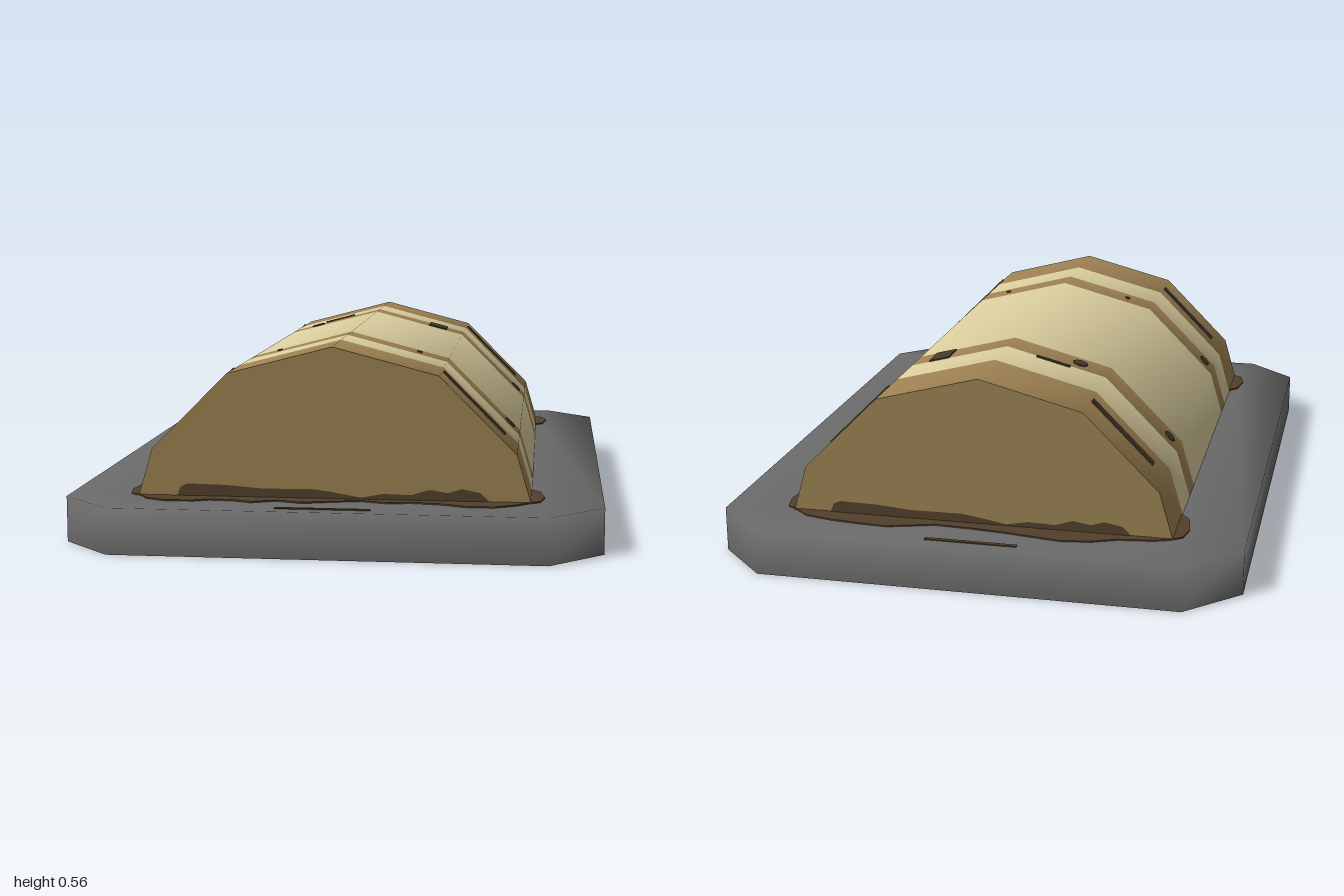
import * as THREE from 'three';

const mat = (name, color, side = THREE.FrontSide) => {
  const m = new THREE.MeshStandardMaterial({ color, side });
  m.name = name;
  return m;
};

// Surface through rings of [x, y, z] points, with shared vertices for smooth normals
function loft(rings, closed) {
  const n = rings[0].length, index = [];
  for (let j = 0; j < rings.length - 1; j++) {
    for (let i = 0; i < (closed ? n : n - 1); i++) {
      const k = (i + 1) % n;
      const a = j * n + i, b = j * n + k, c = b + n, d = a + n;
      index.push(a, b, c, a, c, d);
    }
  }
  const g = new THREE.BufferGeometry();
  g.setAttribute('position', new THREE.Float32BufferAttribute(rings.flat(2), 3));
  g.setIndex(index);
  g.computeVertexNormals();
  return g;
}

export function createModel() {
  const grey = mat('concrete grey', 0x6a6a6a, THREE.DoubleSide);
  const sand = mat('sand canvas', 0xdccf9f, THREE.DoubleSide);
  const tan = mat('tan band', 0x9f8253, THREE.DoubleSide);
  const endTan = mat('end wall tan', 0x9a8252);
  const dirt = mat('dirt brown', 0x53402c);
  const dark = mat('dark mark', 0x463a2e);

  const model = new THREE.Group();
  const add = (name, geo, material, x = 0, y = 0, z = 0) => {
    const m = new THREE.Mesh(geo, material);
    m.name = name;
    m.position.set(x, y, z);
    model.add(m);
    return m;
  };
  const TOP = 0.13, HALF = 0.82;

  // Hollow base: octagonal skirt and top ledge around the hut
  const outer = [[0.75, 0.85], [0.75, -0.85], [0.6, -1], [-0.6, -1],
    [-0.75, -0.85], [-0.75, 0.85], [-0.6, 1], [0.6, 1]];
  const ring = (y) => outer.map(([x, z]) => [x, y, z]);
  const inner = outer.map(([x, z]) => [Math.sign(x) * 0.55, TOP, Math.sign(z) * HALF]);
  add('base', loft([ring(0), ring(TOP), inner], true), grey);

  // Arched roof in coloured bands, each with its piece of floor underneath
  const half = [[0.55, TOP], [0.51, 0.265], [0.295, 0.48]];
  const arch = [...half, [0, 0.557], ...half.map(([x, y]) => [-x, y]).reverse()];
  const cuts = [-0.82, -0.62, -0.47, -0.37, 0.37, 0.47, 0.62, 0.82];
  for (let i = 0; i < cuts.length - 1; i++) {
    const z0 = cuts[i], z1 = cuts[i + 1], m = i % 2 ? sand : tan;
    add('roofBand', loft([z0, z1].map((z) => arch.map(([x, y]) => [x, y, z])), false), m);
    const floor = add('floorBand', new THREE.PlaneGeometry(1.1, z1 - z0), m, 0, 0.124, (z0 + z1) / 2);
    floor.rotation.x = Math.PI / 2;
  }

  // End walls with a grimy strip along the foot
  const wallShape = new THREE.Shape(arch.map(([x, y]) => new THREE.Vector2(x, y)));
  const grime = [[-0.44, 0.13], [-0.43, 0.158], [-0.41, 0.168], [-0.3, 0.166], [-0.2, 0.158],
    [-0.05, 0.159], [0, 0.152], [0.08, 0.138], [0.14, 0.15], [0.22, 0.148], [0.27, 0.164],
    [0.32, 0.156], [0.36, 0.168], [0.41, 0.158], [0.43, 0.14], [0.43, 0.13]];
  const grimeShape = new THREE.Shape(grime.map(([x, y]) => new THREE.Vector2(x, y)));
  for (const s of [1, -1]) {
    const wall = add('endWall', new THREE.ShapeGeometry(wallShape), endTan, 0, 0, s * HALF);
    const strip = add('wallGrime', new THREE.ShapeGeometry(grimeShape), dirt, 0, 0, s * (HALF + 0.003));
    if (s < 0) wall.rotation.y = strip.rotation.y = Math.PI;
  }

  // Dirt spread on the ledge round both ends, showing through below
  const sideDirt = [[-0.55, 0.63], [-0.575, 0.66], [-0.587, 0.74], [-0.575, 0.8], [-0.54, 0.825]];
  const edges = {
    front: [[-0.52, 0.86], [-0.46, 0.89], [-0.38, 0.885], [-0.34, 0.865], [-0.27, 0.87],
      [-0.22, 0.89], [-0.15, 0.86], [-0.08, 0.885], [0, 0.86], [0.08, 0.84], [0.16, 0.865],
      [0.22, 0.85], [0.31, 0.865], [0.37, 0.89], [0.45, 0.89], [0.51, 0.855]],
    back: [[-0.5, 0.84], [-0.4, 0.855], [-0.33, 0.885], [-0.25, 0.897], [-0.17, 0.885],
      [-0.08, 0.87], [0.02, 0.86], [0.12, 0.855], [0.2, 0.88], [0.25, 0.895], [0.33, 0.89],
      [0.42, 0.88], [0.5, 0.86]],
  };
  for (const [end, s] of [['front', 1], ['back', -1]]) {
    const pts = [...sideDirt, ...edges[end], ...sideDirt.map(([x, z]) => [-x, z]).reverse()];
    const shape = new THREE.Shape(pts.map(([x, z]) => new THREE.Vector2(x, -s * z)));
    const geo = new THREE.ExtrudeGeometry(shape, { depth: 0.008, bevelEnabled: false });
    add(end + 'Dirt', geo, dirt, 0, 0.126, 0).rotation.x = -Math.PI / 2;
    // Scratch on the ledge
    add('ledgeScratch', new THREE.BoxGeometry(0.26, 0.006, 0.013), dirt, -0.01, TOP, s * 0.957);
  }

  // Thin plates laid on the roof facets
  const roofPlate = (name, x, z, width, depth, round = false) => {
    const ax = Math.abs(x), k = ax > 0.51 ? 0 : ax > 0.295 ? 1 : 2;
    const [x0, y0] = arch[k], [x1, y1] = arch[k + 1];
    const y = y0 + (y1 - y0) * (x0 - ax) / (x0 - x1);
    const slope = Math.atan2(y1 - y0, x0 - x1);
    const len = width / Math.cos(slope);
    const geo = round
      ? new THREE.CylinderGeometry(depth / 2, depth / 2, 0.008, 8)
      : new THREE.BoxGeometry(len, 0.008, depth);
    add(name, geo, dark, x, y, z).rotation.z = -Math.sign(x) * slope;
  };
  for (const sx of [1, -1]) {
    for (const sz of [1, -1]) {
      roofPlate('roofSlot', sx * 0.385, sz * 0.695, 0.175, 0.026);
      roofPlate('strapRivet', sx * 0.48, sz * 0.42, 0, 0.038, true);
    }
    roofPlate('strapRivet', sx * 0.21, 0.42, 0, 0.016, true);
  }
  roofPlate('strapRivet', -0.21, -0.42, 0, 0.045, true);
  roofPlate('strapBuckle', 0.21, -0.425, 0.06, 0.09);
  roofPlate('strapScuff', -0.14, -0.478, 0.1, 0.012);

  // Grey stains: one low on the side, two under the floor
  const stain = add('sideStain', new THREE.CircleGeometry(0.045, 10, 0, Math.PI), grey, 0.552, TOP, 0.335);
  stain.rotation.y = Math.PI / 2;
  stain.scale.y = 0.6;
  for (const z of [0.6, -0.57]) {
    const blot = add('floorStain', new THREE.CircleGeometry(0.065, 8), grey, 0, 0.121, z);
    blot.rotation.x = Math.PI / 2;
  }
  return model;
}
